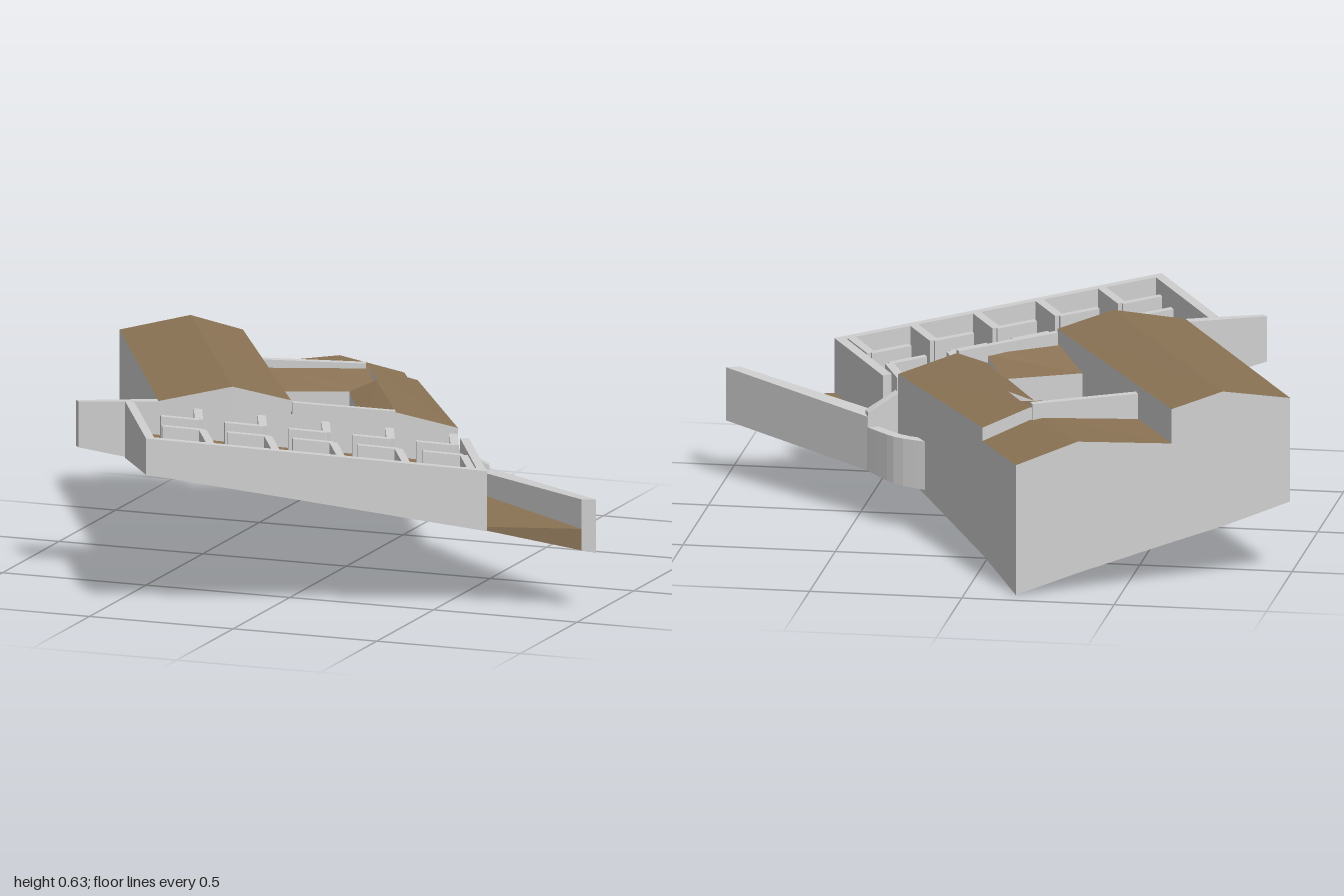
import * as THREE from 'three';

const concrete = new THREE.MeshStandardMaterial({ name: 'paleConcrete', color: 0xd0d0d0 });
const brown = new THREE.MeshStandardMaterial({ name: 'brownRoofing', color: 0x8b7355 });
const dark = new THREE.MeshStandardMaterial({ name: 'darkPaving', color: 0x696353 });

// Sloping underside: two planes meeting on a diagonal
const base = (x, z) => Math.max(0.213 - 0.0896 * x + 0.2442 * z, 0.19 - 0.181 * x + 0.2359 * z);
// Wall heads of the room wing fall gently to one side
const roomTop = (x, z) => 0.503 - 0.103 * x + 0.0567 * z;
const roomFloor = (x, z) => roomTop(x, z) - 0.1;

const height = (h, p, i) => typeof h === 'function' ? h(p[0], p[1]) : Array.isArray(h) ? h[i] : h;

// Upright prism over a plan ring of [x, z], with varying heights above and below
function prism(name, ring, top, bottom, topMat = concrete, sideMat = concrete) {
  let pts = ring.map((p, i) => ({
    flat: new THREE.Vector2(p[0], p[1]),
    t: [p[0], height(top, p, i), p[1]],
    b: [p[0], height(bottom, p, i), p[1]],
  }));
  if (THREE.ShapeUtils.area(pts.map(p => p.flat)) < 0) pts = pts.reverse();
  const tris = THREE.ShapeUtils.triangulateShape(pts.map(p => p.flat), []);
  const caps = [], rest = [];
  for (const [a, b, c] of tris) {
    caps.push(...pts[c].t, ...pts[b].t, ...pts[a].t);
    rest.push(...pts[a].b, ...pts[b].b, ...pts[c].b);
  }
  pts.forEach((p, i) => {
    const q = pts[(i + 1) % pts.length];
    rest.push(...p.b, ...p.t, ...q.t, ...p.b, ...q.t, ...q.b);
  });
  const geo = new THREE.BufferGeometry();
  geo.setAttribute('position', new THREE.Float32BufferAttribute([...caps, ...rest], 3));
  geo.addGroup(0, caps.length / 3, 0);
  geo.addGroup(caps.length / 3, rest.length / 3, 1);
  geo.computeVertexNormals();
  const mesh = new THREE.Mesh(geo, [topMat, sideMat]);
  mesh.name = name;
  return mesh;
}

// Straight wall between two plan points, centred on the line
function wall(name, a, b, thick, top, bottom) {
  const dx = b[0] - a[0], dz = b[1] - a[1], k = thick / 2 / Math.hypot(dx, dz);
  const ox = -dz * k, oz = dx * k;
  const ring = [[a[0] + ox, a[1] + oz], [b[0] + ox, b[1] + oz], [b[0] - ox, b[1] - oz], [a[0] - ox, a[1] - oz]];
  return prism(name, ring, top, bottom);
}

export function createModel() {
  const model = new THREE.Group();
  model.name = 'hillsideHouse';
  const roofed = (name, ring, top) => model.add(prism(name, ring, top, base, brown));

  // Long gabled wing, one prism for each roof slope
  roofed('longWingOuterSlope', [[-1, -0.535], [-0.797, -0.645], [-0.28, 0.295], [-0.5, 0.39]], [0.592, 0.634, 0.634, 0.588]);
  roofed('longWingInnerSlope', [[-0.797, -0.645], [-0.64, -0.71], [-0.11, 0.21], [-0.28, 0.295]], [0.634, 0.585, 0.585, 0.634]);

  // Low roof at the back
  roofed('backRoofInner', [[-0.64, -0.71], [-0.353, -0.837], [-0.19, -0.555], [-0.484, -0.44]], [0.47, 0.497, 0.497, 0.475]);
  roofed('backRoofOuter', [[-0.353, -0.837], [-0.166, -0.933], [-0.01, -0.655], [-0.15, -0.575], [-0.19, -0.555]],
    [0.497, 0.435, 0.435, 0.49, 0.497]);

  // Short gabled wing beside the courtyard
  roofed('shortWingOuterSlope', [[-0.15, -0.575], [-0.01, -0.655], [0.37, -0.045], [0.19, 0.045]], [0.532, 0.48, 0.48, 0.535]);
  roofed('shortWingInnerSlope', [[-0.05, -0.39], [0.19, 0.045], [0.1, 0.09], [-0.13, -0.355]], [0.532, 0.535, 0.495, 0.495]);

  // Roofs draining to the courtyard, and its floor
  roofed('courtyardBackRoof', [[-0.484, -0.44], [-0.15, -0.575], [-0.05, -0.39], [-0.13, -0.355], [-0.38, -0.26]],
    [0.535, 0.532, 0.5, 0.495, 0.495]);
  roofed('courtyardFrontRoof', [[-0.23, 0.01], [0.02, -0.11], [0.1, 0.09], [0.06, 0.12], [-0.11, 0.21]],
    [0.495, 0.495, 0.52, 0.53, 0.54]);
  model.add(prism('courtyardFloor', [[-0.38, -0.26], [-0.13, -0.355], [0.02, -0.11], [-0.23, 0.01]], 0.36, base, dark));

  // Parapets
  model.add(wall('backParapet', [-0.48, -0.435], [-0.155, -0.565], 0.028, [0.56, 0.545, 0.545, 0.56], 0.45));
  model.add(wall('frontParapet', [-0.11, 0.2], [0.19, 0.05], 0.025, [0.578, 0.542, 0.542, 0.578], 0.42));

  // Room wing: floor slab and outer walls
  const rooms = new THREE.Group();
  rooms.name = 'roomWing';
  model.add(rooms);
  rooms.add(prism('roomFloor', [[-0.585, 0.43], [-0.335, 0.92], [0.65, 0.43], [0.4, -0.04], [0.37, -0.045], [-0.5, 0.39]],
    roomFloor, base, brown));
  rooms.add(wall('sideWall', [-0.585, 0.43], [-0.318, 0.922], 0.03, roomTop, base));
  rooms.add(prism('frontWall', [[-0.33, 0.93], [0.66, 0.435], [0.645, 0.408], [-0.345, 0.902]], roomTop, base));
  rooms.add(wall('sideWall', [0.646, 0.44], [0.415, 0.01], 0.03, roomTop, base));

  // L-shaped partitions in two facing rows
  const rows = [
    { name: 'backPartition', path: [[-0.385, 0.335], [-0.318, 0.495], [-0.43, 0.55]], step: [0.187, -0.09], count: 5 },
    { name: 'frontPartition', path: [[-0.155, 0.81], [-0.25, 0.635], [-0.369, 0.692]], step: [0.19, -0.094], count: 5 },
  ];
  for (const { name, path, step, count } of rows) {
    for (let i = 0; i < count; i++) {
      const [a, b, c] = path.map(p => [p[0] + step[0] * i, p[1] + step[1] * i]);
      const foot = (x, z) => roomFloor(x, z) - 0.01;
      rooms.add(wall(name, a, b, 0.027, roomTop, foot), wall(name, b, c, 0.027, roomTop, foot));
    }
  }

  // Free-standing end wall
  model.add(prism('spurWall', [[-0.755, 0.47], [-0.74, 0.488], [-0.58, 0.428], [-0.48, 0.385], [-0.5, 0.35]],
    0.587, [0.435, 0.435, 0.4, 0.37, 0.37]));

  // Triangular yard with its retaining wall
  model.add(prism('yardFloor', [[0.66, 0.435], [0.957, 0.352], [0.43, -0.035], [0.4, -0.04]], 0.275,
    [0.262, 0.204, 0.168, 0.17], brown, brown));
  model.add(prism('yardWall', [[1, 0.335], [0.957, 0.352], [0.43, -0.035], [0.465, -0.09]],
    [0.373, 0.373, 0.347, 0.345], [0.195, 0.204, 0.167, 0.165]));
  model.add(prism('gatePost', [[0.36, -0.04], [0.38, -0.01], [0.475, -0.06], [0.46, -0.095]], [0.42, 0.42, 0.36, 0.36], 0.165));

  // Curved planter wall and bed between yard and house
  const curve = new THREE.CatmullRomCurve3([[0.465, -0.09], [0.417, -0.14], [0.35, -0.2], [0.245, -0.24]]
    .map(([x, z]) => new THREE.Vector3(x, 0, z)));
  const outer = curve.getPoints(8).map(p => [p.x, p.z]);
  const inner = outer.map(([x, z]) => [x - 0.02, z + 0.032]);
  model.add(prism('curvedWall', [...outer, ...inner.reverse()], 0.31, (x, z) => 0.165 + Math.min(0, z + 0.085) * 0.11));
  model.add(prism('planterBed', [[0.37, -0.045], ...outer], 0.25, (x, z) => 0.167 + Math.min(0, z + 0.085) * 0.11, dark));

  return model;
}
